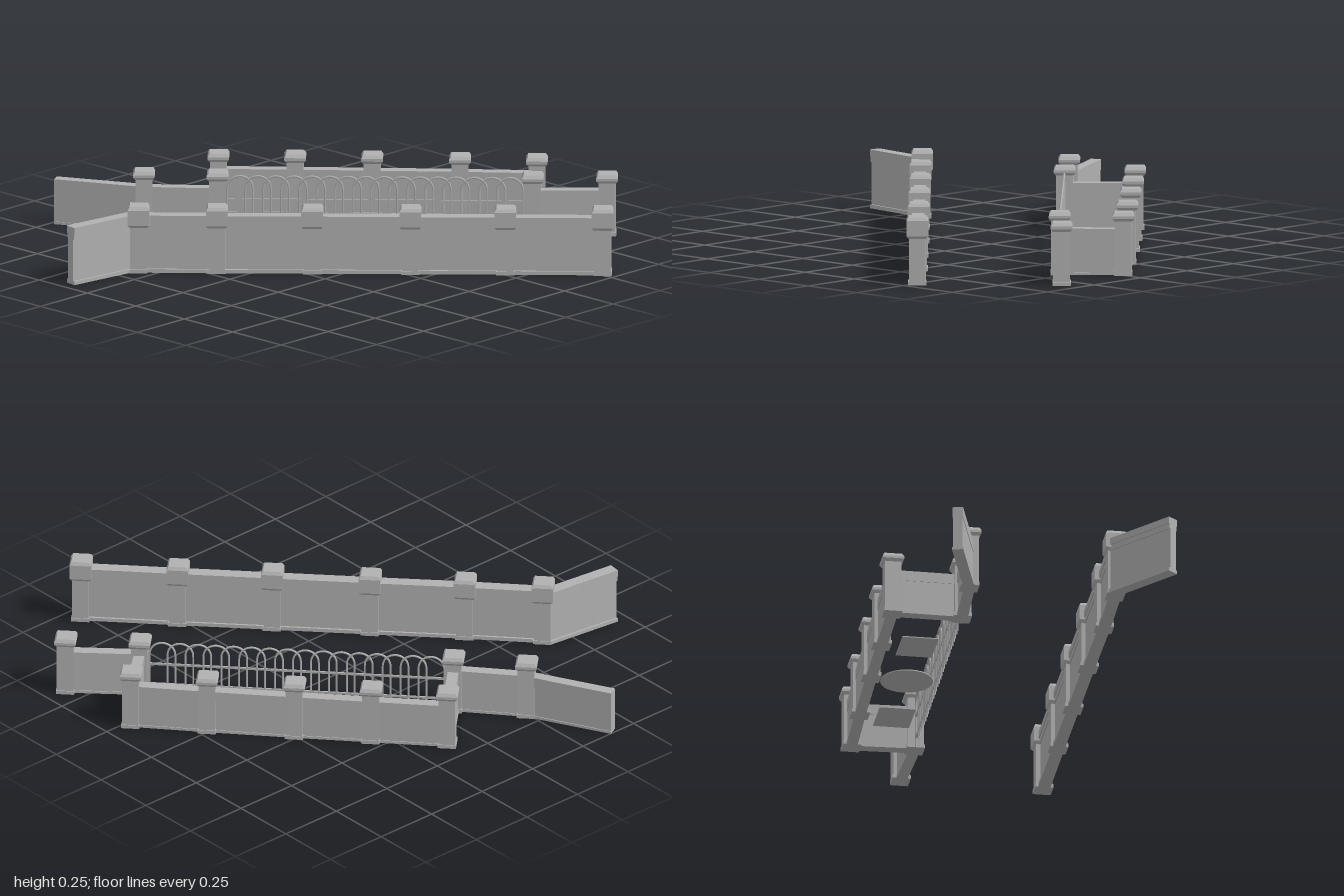
import * as THREE from 'three';

const stone = new THREE.MeshStandardMaterial({ color: 0xb0b0b0 });
stone.name = 'grey stone';
stone.side = THREE.DoubleSide;

function add(parent, name, geometry, y = 0) {
  const mesh = new THREE.Mesh(geometry, stone);
  mesh.name = name;
  mesh.position.y = y;
  parent.add(mesh);
  return mesh;
}

const box = (w, h, d) => new THREE.BoxGeometry(w, h, d);

// square frustum standing on y0
function taper(parent, name, bottom, top, y0, y1) {
  const geo = new THREE.CylinderGeometry(top * Math.SQRT1_2, bottom * Math.SQRT1_2, y1 - y0, 4);
  geo.rotateY(Math.PI / 4);
  const flat = geo.toNonIndexed();
  flat.computeVertexNormals();
  return add(parent, name, flat, (y0 + y1) / 2);
}

// group whose local x axis runs from point a to point b
function span(parent, name, a, b) {
  const group = new THREE.Group();
  group.name = name;
  const dx = b[0] - a[0], dz = b[1] - a[1];
  group.position.set((a[0] + b[0]) / 2, 0, (a[1] + b[1]) / 2);
  group.rotation.y = Math.atan2(-dz, dx);
  parent.add(group);
  return { group, length: Math.hypot(dx, dz) };
}

// tall wall with a wide coping and a base flange
function tallWall(parent, a, b) {
  const { group, length } = span(parent, 'tallWall', a, b);
  add(group, 'panel', box(length, 0.18, 0.03), 0.09);
  add(group, 'base', box(length, 0.014, 0.046), 0.007);
  add(group, 'copingLower', box(length, 0.022, 0.038), 0.184);
  add(group, 'copingUpper', box(length, 0.026, 0.046), 0.207);
}

// low wall with a shallow top band
function lowWall(parent, a, b) {
  const { group, length } = span(parent, 'lowWall', a, b);
  add(group, 'panel', box(length, 0.135, 0.036), 0.0675);
  add(group, 'base', box(length, 0.01, 0.042), 0.005);
  add(group, 'topBand', box(length, 0.04, 0.04), 0.153);
}

function pillar(parent, [x, z], angle, tall) {
  const group = new THREE.Group();
  group.name = tall ? 'tallPillar' : 'lowPillar';
  group.position.set(x, 0, z);
  group.rotation.y = angle;
  parent.add(group);
  const capBase = tall ? 0.175 : 0.203, top = tall ? 0.255 : 0.235;
  add(group, 'shaft', box(0.062, capBase, 0.062), capBase / 2);
  add(group, 'foot', box(0.068, 0.014, 0.068), 0.007);
  taper(group, 'capFlare', 0.066, 0.08, capBase, capBase + 0.01);
  taper(group, 'capBlock', 0.08, 0.08, capBase + 0.01, top - 0.012);
  taper(group, 'capTop', 0.08, 0.066, top - 0.012, top);
}

// overlapping hoops on horizontal rails
function hoopFence(parent, a, b) {
  const { group, length } = span(parent, 'hoopFence', a, b);
  const count = 16, radius = 0.048, spring = 0.168;
  const run = length - 0.07;
  const step = (run - 2 * radius) / (count - 1);
  const path = new THREE.CurvePath();
  const points = [new THREE.Vector3(-radius, 0, 0)];
  for (let i = 0; i <= 12; i++) {
    const t = Math.PI * (1 - i / 12);
    points.push(new THREE.Vector3(Math.cos(t) * radius, spring + Math.sin(t) * radius, 0));
  }
  points.push(new THREE.Vector3(radius, 0, 0));
  for (let i = 1; i < points.length; i++) path.add(new THREE.LineCurve3(points[i - 1], points[i]));
  const hoop = new THREE.TubeGeometry(path, 60, 0.004, 6);
  for (let i = 0; i < count; i++) {
    add(group, 'hoop', hoop).position.x = -run / 2 + radius + i * step;
  }
  for (const y of [0.04, 0.125]) add(group, 'rail', box(length, 0.008, 0.006), y);
}

export function createModel() {
  const model = new THREE.Group();
  model.name = 'walledStreet';
  const angle = Math.atan2(1.17, 1.26);

  // long tall wall with its angled wing
  const front = [[-0.32, 0.655], [-0.105, 0.46], [0.152, 0.218], [0.418, -0.03], [0.675, -0.27], [0.94, -0.515]];
  front.forEach((p, i) => {
    pillar(model, p, angle, true);
    if (i) tallWall(model, front[i - 1], p);
  });
  tallWall(model, [-0.38, 0.955], [-0.342, 0.655]);

  // low wall stepping back around the enclosure
  const back = [[-0.992, 0.405], [-0.685, 0.25], [-0.475, 0.075], [-0.655, -0.115], [-0.443, -0.305],
    [-0.23, -0.495], [0.015, -0.71], [0.232, -0.895], [0.385, -0.715], [0.58, -0.91]];
  back.forEach((p, i) => {
    if (!i) return;
    pillar(model, p, angle, false);
    lowWall(model, back[i - 1], p);
  });

  // fence closing the open side
  hoopFence(model, back[2], back[8]);

  // ground plates inside the enclosure
  for (const [x, z] of [[-0.362, -0.2], [0.103, -0.615]]) {
    const plate = add(model, 'squarePlate', box(0.165, 0.004, 0.135), 0.003);
    plate.position.set(x, 0.003, z);
    plate.rotation.y = angle;
  }
  const disc = add(model, 'roundPlate', new THREE.CylinderGeometry(0.098, 0.098, 0.004, 32), 0.003);
  disc.position.set(-0.135, 0.003, -0.4);

  return model;
}
